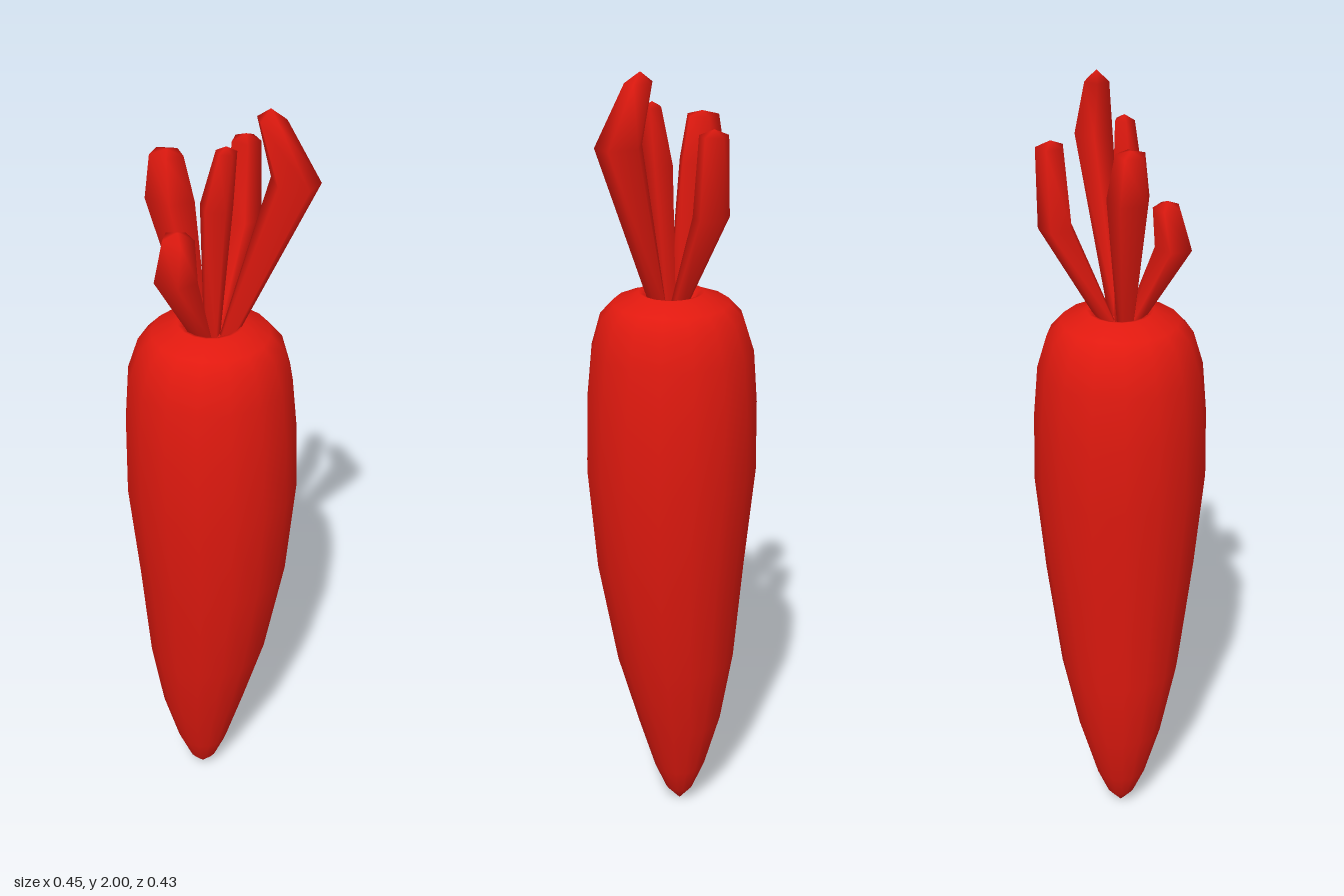
import * as THREE from 'three';
import { mergeVertices } from 'three/addons/utils/BufferGeometryUtils.js';

const red = new THREE.MeshStandardMaterial({ color: 0xe0190f });

// Skins a stack of horizontal rings, bottom to top: [x, y, z, radiusX, radiusZ].
// A ring of radius 0 closes the end.
function loft(rings, sides, phase = 0) {
  const positions = [];
  const index = [];
  rings.forEach(([x, y, z, rx, rz], i) => {
    for (let j = 0; j < sides; j++) {
      const a = phase + (j / sides) * Math.PI * 2;
      positions.push(x + Math.cos(a) * rx, y, z + Math.sin(a) * rz);
      if (i === rings.length - 1) continue;
      const p = i * sides + j;
      const q = i * sides + ((j + 1) % sides);
      if (rx > 0) index.push(p, q + sides, q);
      if (rings[i + 1][3] > 0) index.push(p, p + sides, q + sides);
    }
  });
  const geometry = new THREE.BufferGeometry();
  geometry.setAttribute('position', new THREE.Float32BufferAttribute(positions, 3));
  geometry.setIndex(index);
  const merged = mergeVertices(geometry, 1e-5);
  merged.computeVertexNormals();
  return merged;
}

function addPart(group, name, geometry) {
  const mesh = new THREE.Mesh(geometry, red);
  mesh.name = name;
  group.add(mesh);
}

export function createModel() {
  const model = new THREE.Group();
  model.name = 'carrot';

  // Root: height, centre x, radius; the tip bends slightly to one side
  const profile = [
    [0, -0.043, 0], [0.045, -0.042, 0.037], [0.12, -0.042, 0.068],
    [0.27, -0.04, 0.111], [0.47, -0.026, 0.154], [0.75, -0.01, 0.19],
    [1.01, -0.012, 0.214], [1.19, -0.014, 0.211], [1.32, -0.016, 0.2],
    [1.4, -0.014, 0.176], [1.436, -0.013, 0.143], [1.45, -0.013, 0.1],
    [1.462, -0.013, 0.08], [1.458, -0.013, 0.067], [1.435, -0.013, 0.05],
    [1.43, -0.013, 0],
  ];
  addPart(model, 'root', loft(profile.map(([y, x, r]) => [x, y, 0, r, r]), 16));

  // Stems: thin at the crown, widest at the bend, blunt at the top
  const stems = [
    { name: 'leftStem', phase: Math.PI, rings: [
      [0.025, 1.42, -0.005, 0.02, 0.02], [0.172, 1.84, -0.053, 0.062, 0.047],
      [0.112, 1.975, -0.047, 0.036, 0.03], [0.11, 2.0, -0.047, 0, 0]] },
    { name: 'rightStem', phase: -0.15, rings: [
      [-0.035, 1.42, 0.012, 0.022, 0.02], [-0.112, 1.765, 0.015, 0.062, 0.052],
      [-0.117, 1.87, 0.018, 0.042, 0.036], [-0.117, 1.88, 0.018, 0, 0]] },
    { name: 'backStem', phase: -Math.PI / 2, rings: [
      [-0.012, 1.42, -0.025, 0.021, 0.02], [-0.016, 1.67, -0.147, 0.046, 0.043],
      [-0.014, 1.86, -0.157, 0.036, 0.035], [-0.014, 1.875, -0.157, 0, 0]] },
    { name: 'frontStem', phase: -Math.PI / 2, rings: [
      [-0.018, 1.42, 0.025, 0.022, 0.02], [-0.032, 1.625, 0.125, 0.055, 0.046],
      [-0.034, 1.72, 0.107, 0.04, 0.034], [-0.034, 1.735, 0.107, 0, 0]] },
    { name: 'middleStem', phase: 0.5, rings: [
      [-0.008, 1.42, 0.005, 0.02, 0.02], [0.012, 1.77, 0.018, 0.04, 0.037],
      [0.034, 1.905, 0.012, 0.025, 0.024], [0.034, 1.918, 0.012, 0, 0]] },
  ];
  for (const { name, phase, rings } of stems) addPart(model, name, loft(rings, 5, phase));

  return model;
}
